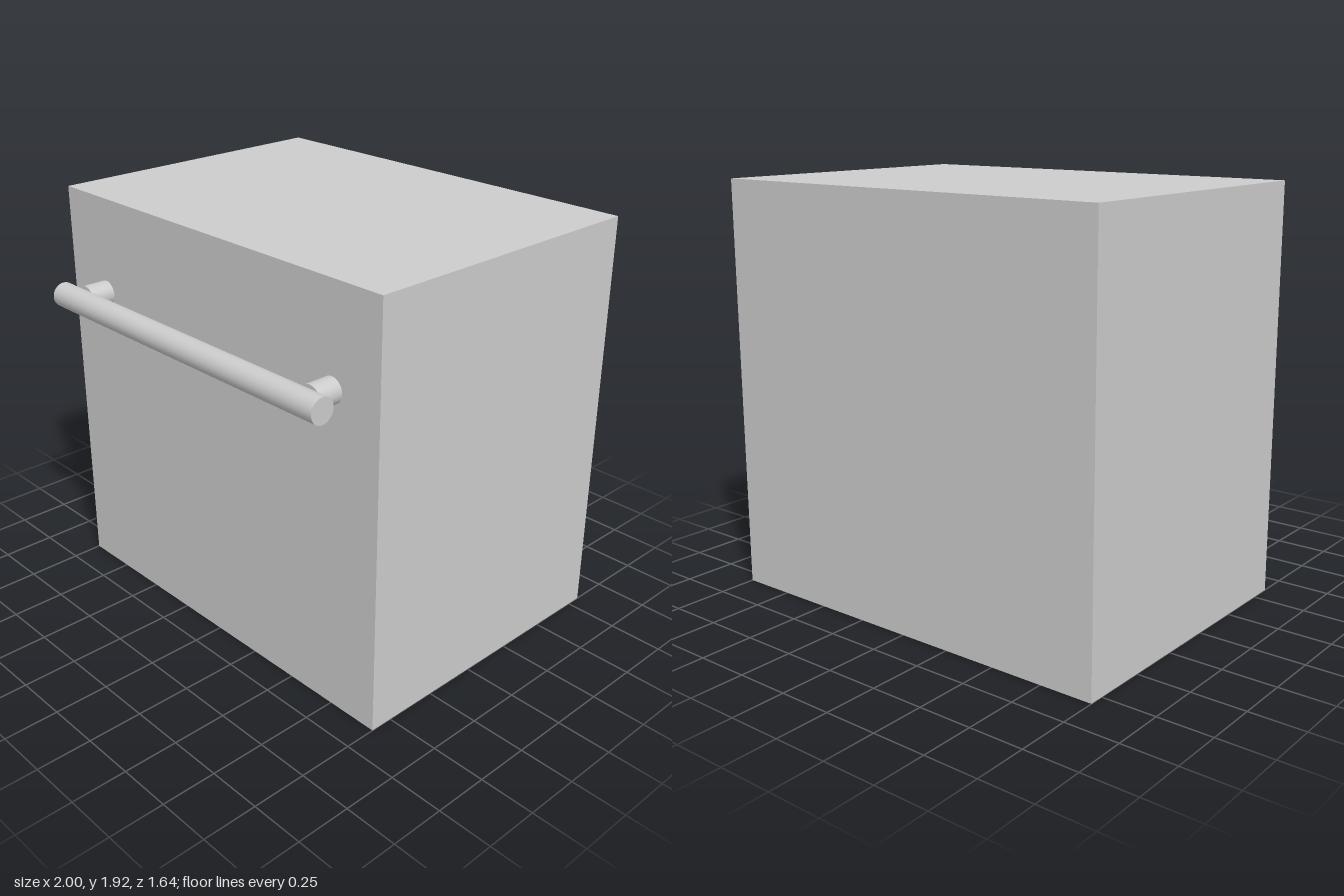
import * as THREE from 'three';

const grey = new THREE.MeshStandardMaterial({ color: 0xcccccc });

function addPart(parent, name, geometry, x, y, z) {
  const mesh = new THREE.Mesh(geometry, grey);
  mesh.name = name;
  mesh.position.set(x, y, z);
  parent.add(mesh);
  return mesh;
}

export function createModel() {
  const model = new THREE.Group();
  model.name = 'cabinetWithBarHandle';

  // Plain closed body
  const width = 2, height = 1.92, back = -0.82, front = 0.606;
  addPart(model, 'body', new THREE.BoxGeometry(width, height, front - back),
    0, height / 2, (front + back) / 2);

  // Bar handle across the upper front
  const handle = new THREE.Group();
  handle.name = 'handle';
  handle.position.y = 1.472;
  model.add(handle);

  const radius = 0.057, barZ = 0.763, postEnd = 0.72;
  const bar = addPart(handle, 'handleBar',
    new THREE.CylinderGeometry(radius, radius, 1.714, 32), 0, 0, barZ);
  bar.rotation.z = Math.PI / 2;

  // Two standoff posts joining the bar to the front
  for (const [side, name] of [[1, 'leftPost'], [-1, 'rightPost']]) {
    const post = addPart(handle, name,
      new THREE.CylinderGeometry(radius, radius, postEnd - front, 32),
      side * 0.743, 0, (postEnd + front) / 2);
    post.rotation.x = Math.PI / 2;
  }
  return model;
}
